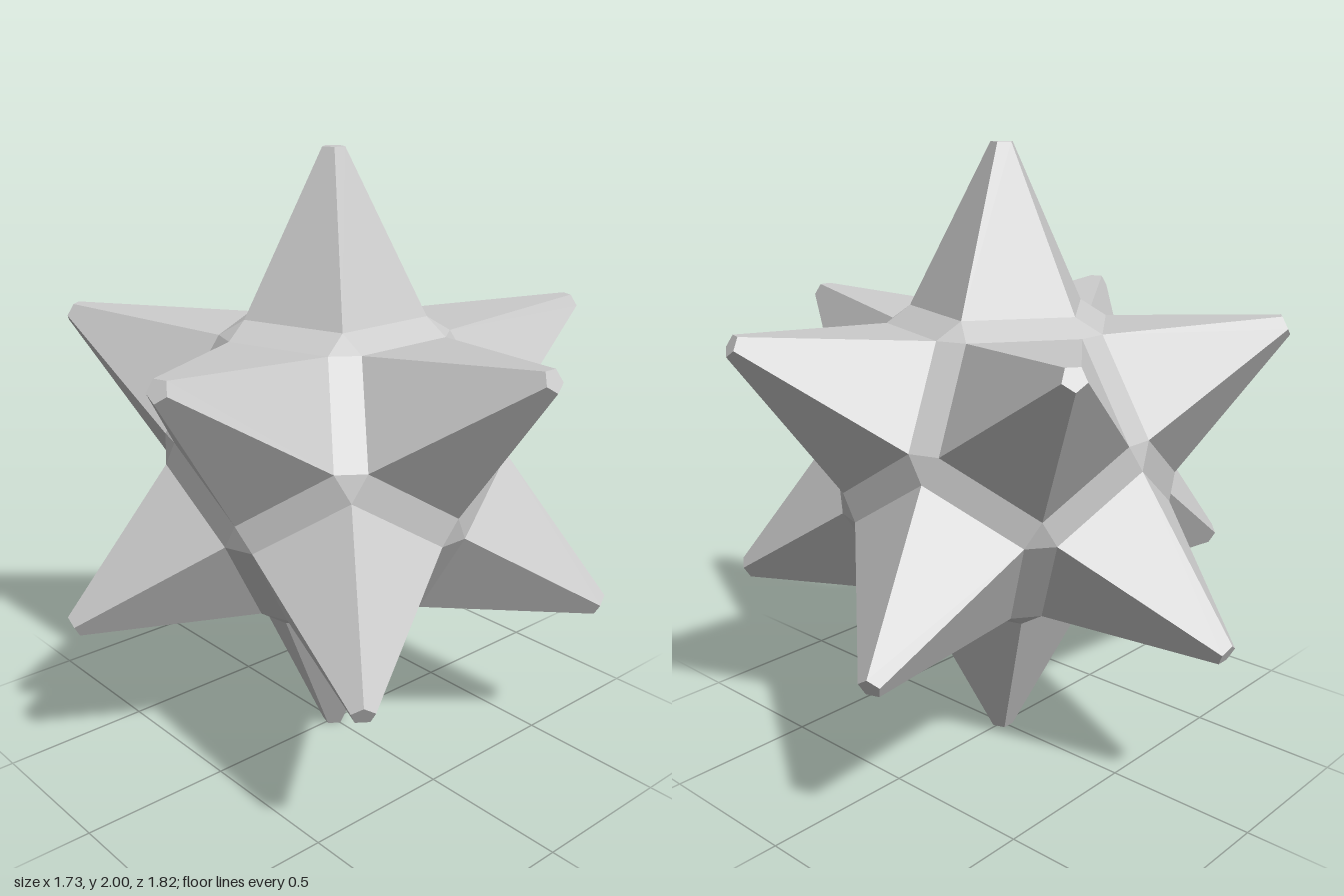
import * as THREE from 'three';
import { mergeGeometries } from 'three/addons/utils/BufferGeometryUtils.js';

const BASE_H = 0.487;   // distance of each spike's base from the centre
const BASE_R = 0.3;     // radius of the pentagonal base
const TIP_R = 0.037;    // radius of the blunt tip
const TILT = Math.atan(2);

// Twelve spike axes: one up, one down and two staggered rings of five
function spikeAxes() {
  const axes = [
    { name: 'topSpike', tilt: 0, turn: 0, spin: Math.PI },
    { name: 'bottomSpike', tilt: Math.PI, turn: 0, spin: Math.PI },
  ];
  for (let k = 0; k < 5; k++) {
    const turn = (k * 2 * Math.PI) / 5;
    axes.push({ name: `upperSpike${k + 1}`, tilt: TILT, turn, spin: 0 });
    axes.push({ name: `lowerSpike${k + 1}`, tilt: Math.PI - TILT, turn: turn + Math.PI / 5, spin: Math.PI });
  }
  for (const a of axes) {
    a.dir = new THREE.Vector3().setFromSphericalCoords(1, a.tilt, a.turn);
  }
  return axes;
}

// Five-sided tapered spike with a flat tip and no base
function spikeGeometry() {
  const side = new THREE.CylinderGeometry(TIP_R, BASE_R, 1 - BASE_H, 5, 1, true);
  side.translate(0, (1 + BASE_H) / 2, 0);
  const tip = new THREE.CircleGeometry(TIP_R, 5);
  tip.rotateX(-Math.PI / 2).rotateY(-Math.PI / 2).translate(0, 1, 0);
  return mergeGeometries([side, tip]);
}

// Corner of the base on axis a, lying between the neighbouring axes b and c
function corner(a, b, c) {
  const out = b.clone().add(c);
  out.addScaledVector(a, -out.dot(a)).setLength(BASE_R);
  return out.addScaledVector(a, BASE_H);
}

// Body between the spikes: a strip per pair and a triangle per trio of neighbours
function frameGeometry(dirs) {
  const pos = [];
  const face = (...p) => {
    const n = p[1].clone().sub(p[0]).cross(p[2].clone().sub(p[0]));
    if (n.dot(p[0]) < 0) p.reverse();
    for (let i = 1; i < p.length - 1; i++) {
      for (const v of [p[0], p[i], p[i + 1]]) pos.push(v.x, v.y, v.z);
    }
  };
  const near = (a, b) => a !== b && a.dot(b) > 0.4;
  dirs.forEach((a, i) => dirs.forEach((b, j) => {
    if (j <= i || !near(a, b)) return;
    const shared = dirs.filter((d) => near(d, a) && near(d, b));
    const [c, d] = shared;
    face(corner(a, b, c), corner(b, a, c), corner(b, a, d), corner(a, b, d));
    for (const e of shared) {
      if (dirs.indexOf(e) > j) face(corner(a, b, e), corner(b, a, e), corner(e, a, b));
    }
  }));
  const geo = new THREE.BufferGeometry();
  geo.setAttribute('position', new THREE.Float32BufferAttribute(pos, 3));
  geo.computeVertexNormals();
  return geo;
}

export function createModel() {
  const model = new THREE.Group();
  model.name = 'spikedStar';
  const material = new THREE.MeshStandardMaterial({ color: 0xcccccc, flatShading: true });
  const add = (name, geo) => {
    const mesh = new THREE.Mesh(geo, material);
    mesh.name = name;
    mesh.position.y = 1;
    model.add(mesh);
  };

  const axes = spikeAxes();
  add('bodyFrame', frameGeometry(axes.map((a) => a.dir)));

  const spike = spikeGeometry();
  for (const { name, tilt, turn, spin } of axes) {
    add(name, spike.clone().rotateY(spin).rotateX(tilt).rotateY(turn));
  }
  return model;
}
